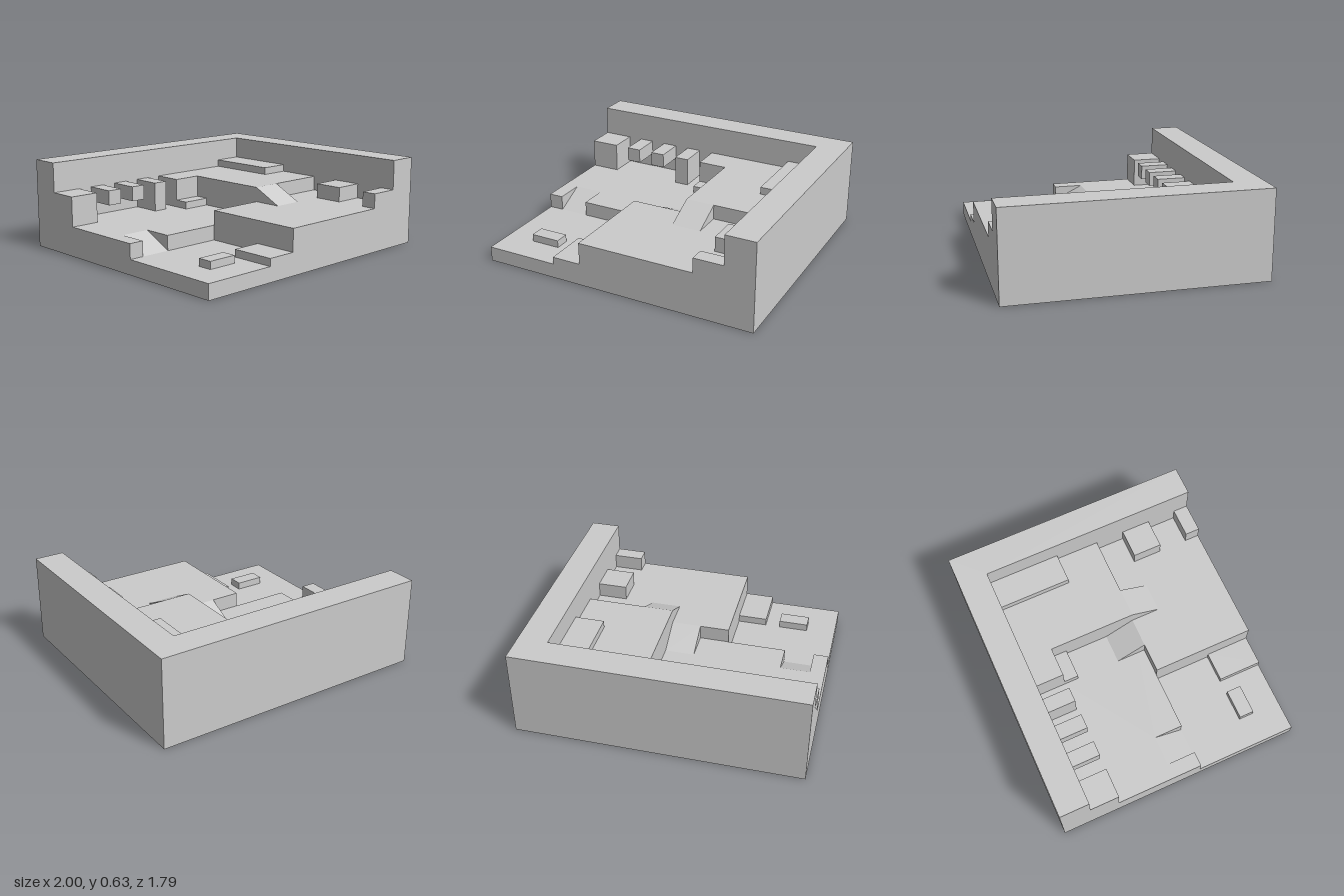
import * as THREE from 'three';

// Everything is laid out on a 19 x 17 grid of square cells, then scaled to size.
const CELL = 2 / 19;

export function createModel() {
  const group = new THREE.Group();
  group.name = 'terracedTerrain';
  const material = new THREE.MeshStandardMaterial({ color: 0xcccccc, flatShading: true });

  function add(name, geometry) {
    geometry.translate(-9.5, 0, -8.5).scale(CELL, CELL, CELL);
    const mesh = new THREE.Mesh(geometry, material);
    mesh.name = name;
    group.add(mesh);
  }

  // Solid with an outline of [x, z] grid points, between two heights
  function slab(name, outline, y0, y1) {
    const shape = new THREE.Shape(outline.map(([x, z]) => new THREE.Vector2(x, -z)));
    const geometry = new THREE.ExtrudeGeometry(shape, { depth: y1 - y0, bevelEnabled: false });
    add(name, geometry.rotateX(-Math.PI / 2).translate(0, y0, 0));
  }

  function block(name, x0, x1, z0, z1, y0, y1) {
    const geometry = new THREE.BoxGeometry(x1 - x0, y1 - y0, z1 - z0);
    add(name, geometry.translate((x0 + x1) / 2, (y0 + y1) / 2, (z0 + z1) / 2));
  }

  // Wedge one cell high and two cells wide, rising from zLow to zHigh
  function ramp(name, x0, zLow, zHigh, y0) {
    const shape = new THREE.Shape([
      new THREE.Vector2(zLow, y0),
      new THREE.Vector2(zHigh, y0),
      new THREE.Vector2(zHigh, y0 + 1),
    ]);
    const geometry = new THREE.ExtrudeGeometry(shape, { depth: 2, bevelEnabled: false });
    add(name, geometry.rotateY(-Math.PI / 2).translate(x0 + 2, 0, 0));
  }

  // High wall along the back and one side
  slab('outerWall', [[0, 0], [19, 0], [19, 17], [17, 17], [17, 2], [0, 2]], 0, 6);

  // Terraces; the middle one is notched for the lower ramp
  block('lowerTerrace', 0, 7, 10, 17, 0, 1);
  slab('middleTerrace', [
    [0, 2], [9, 2], [9, 4], [11, 4], [11, 10], [3, 10], [3, 8], [1, 8], [1, 10], [0, 10],
  ], 0, 2);
  block('frontTerrace', 7, 17, 10, 17, 0, 3);
  slab('upperTerrace', [[9, 2], [17, 2], [17, 10], [11, 10], [11, 4], [9, 4]], 0, 4);

  // Ramps joining the terraces
  ramp('lowerRamp', 1, 10, 8, 1);
  ramp('middleRamp', 9, 8, 10, 2);
  ramp('upperRamp', 11, 12, 10, 3);

  // Low steps and loose blocks
  block('lowerStep', 5, 7, 14, 17, 1, 1.5);
  block('looseBlock', 2, 4, 14, 15, 1, 1.5);
  block('upperStep', 9, 11, 4, 5, 2, 2.5);

  // Blocks and ledges along the back wall
  block('cornerBlock', 0, 2, 2, 4, 2, 4);
  for (const x of [3, 5]) block('wallLedge', x, x + 1, 2, 4, 3, 4);
  block('wallPier', 7, 8, 2, 4, 2, 4);

  // Blocks along the side wall
  block('longBench', 15, 17, 2, 7, 4, 4.5);
  block('sideBlock', 15, 17, 12, 14, 3, 4);
  block('frontSideBlock', 15, 17, 16, 17, 3, 4);

  return group;
}
